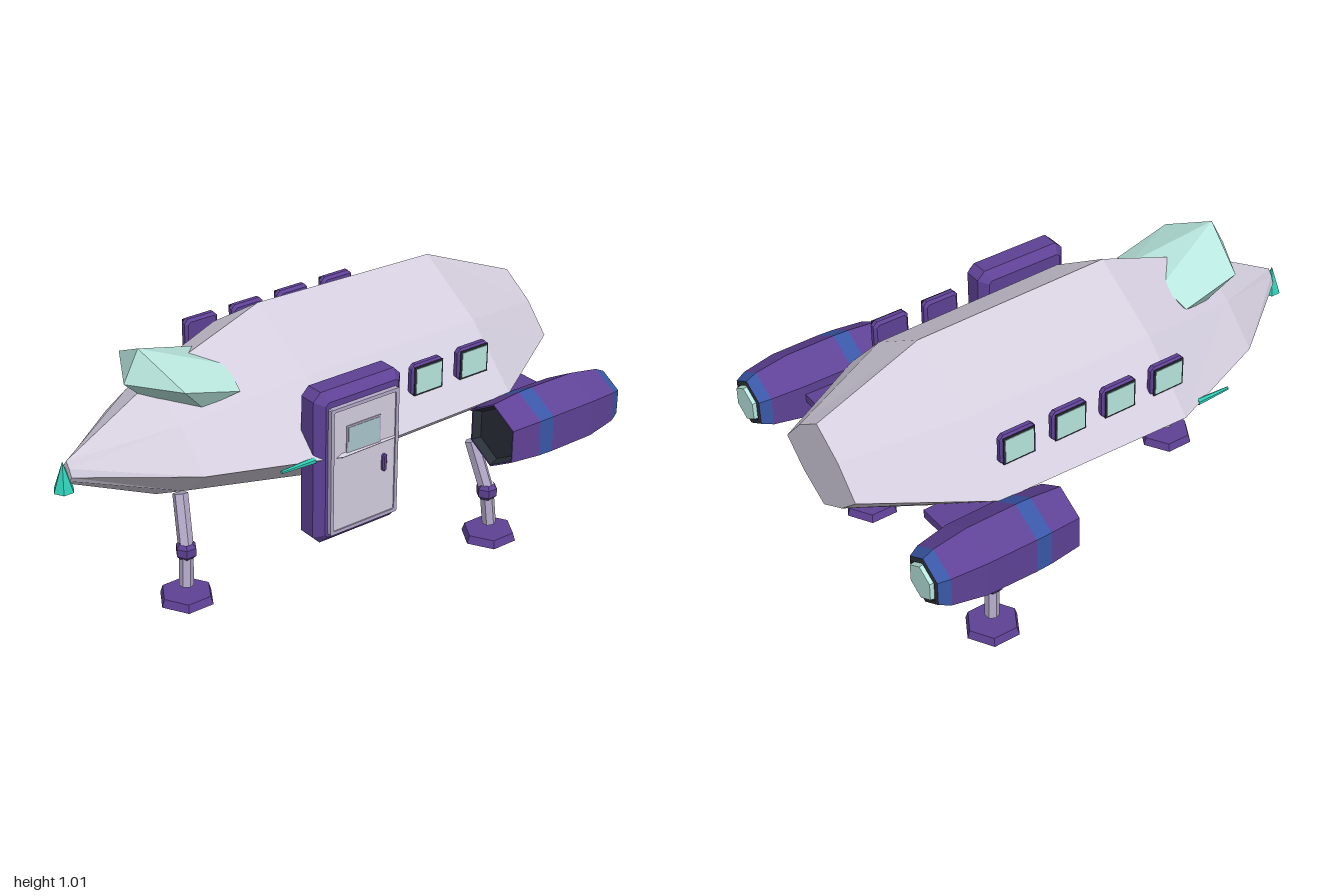
import * as THREE from 'three';
import { ConvexGeometry } from 'three/addons/geometries/ConvexGeometry.js';

const mat = (color) => new THREE.MeshStandardMaterial({ color, flatShading: true });
const HULL = mat(0xd3cddd), LEG = mat(0xb3a9c8), PURPLE = mat(0x5f4296), BLUE = mat(0x3a58a8);
const DARK = mat(0x2a3038), GLASS = mat(0xb8e6de), TEAL = mat(0x2fccb5), PANE = mat(0xa9c6cc);

function add(parent, name, geometry, material, x = 0, y = 0, z = 0) {
  const mesh = new THREE.Mesh(geometry, material);
  mesh.name = name;
  mesh.position.set(x, y, z);
  parent.add(mesh);
  return mesh;
}

// Eight-sided hull skinned over sections: z, half width, top, waist and bottom heights
function hullGeometry() {
  const sections = [
    [0.945, 0.03, 0.655, 0.605, 0.57],
    [0.6, 0.3, 0.85, 0.612, 0.41],
    [0.16, 0.482, 1.012, 0.62, 0.332],
    [-0.6, 0.465, 0.995, 0.62, 0.342],
    [-1, 0.22, 0.83, 0.64, 0.485],
  ];
  const k = 0.56;
  const rings = sections.map(([z, w, top, mid, bot]) => {
    const hi = mid + (top - mid) * k, lo = mid - (mid - bot) * k;
    return [[0, top], [w * k, hi], [w, mid], [w * k, lo], [0, bot], [-w * k, lo], [-w, mid], [-w * k, hi]]
      .map(([x, y]) => [x, y, z]);
  });
  const pos = [];
  const tri = (...pts) => pts.forEach((p) => pos.push(...p));
  const front = [0, sections[0][3], sections[0][0]];
  const rear = [0, sections[4][3], sections[4][0]];
  for (let j = 0; j < 8; j++) {
    const n = (j + 1) % 8;
    for (let i = 0; i < 4; i++) {
      const a = rings[i][j], b = rings[i][n], c = rings[i + 1][n], d = rings[i + 1][j];
      // mirror the diagonal so both sides match
      if (j < 4) { tri(a, b, c); tri(a, c, d); } else { tri(a, b, d); tri(b, c, d); }
    }
    tri(front, rings[0][n], rings[0][j]);
    tri(rear, rings[4][j], rings[4][n]);
  }
  const g = new THREE.BufferGeometry();
  g.setAttribute('position', new THREE.Float32BufferAttribute(pos, 3));
  g.computeVertexNormals();
  return g;
}

// Rectangle with cut corners
function cutRect(w, h, c, Type = THREE.Shape) {
  const x = w / 2, y = h / 2;
  return new Type([[-x + c, -y], [x - c, -y], [x, -y + c], [x, y - c], [x - c, y], [-x + c, y], [-x, y - c], [-x, -y + c]]
    .map(([a, b]) => new THREE.Vector2(a, b)));
}

// Bevelled slab facing sideways: width along z, height along y, depth along x
function slab(w, h, depth, bevel, cut) {
  const g = new THREE.ExtrudeGeometry(cutRect(w - 2 * bevel, h - 2 * bevel, cut), {
    depth: depth - 2 * bevel, bevelEnabled: true, bevelSegments: 1, bevelSize: bevel, bevelThickness: bevel,
  });
  return g.center().rotateY(Math.PI / 2);
}

// Six-sided rod between two points
function rod(parent, name, from, to, r0, r1, material) {
  const a = new THREE.Vector3(...from), b = new THREE.Vector3(...to);
  const dir = b.clone().sub(a);
  const mesh = add(parent, name, new THREE.CylinderGeometry(r1, r0, dir.length(), 6), material);
  mesh.position.copy(a.add(b).multiplyScalar(0.5));
  mesh.quaternion.setFromUnitVectors(new THREE.Vector3(0, 1, 0), dir.normalize());
  return mesh;
}

function windowUnit(side, z) {
  const g = new THREE.Group();
  g.name = 'window';
  add(g, 'windowFrame', slab(0.142, 0.122, 0.036, 0.01, 0.01), PURPLE);
  add(g, 'windowTrim', new THREE.BoxGeometry(0.004, 0.108, 0.126), DARK, side * 0.017);
  add(g, 'windowPane', new THREE.BoxGeometry(0.006, 0.094, 0.112), GLASS, side * 0.018);
  g.position.set(side * 0.386, 0.757, z);
  return g;
}

function door() {
  const g = new THREE.Group();
  g.name = 'door';
  add(g, 'doorFrame', slab(0.37, 0.575, 0.125, 0.03, 0.012), PURPLE, 0.397, 0.572, 0.065);
  const rim = cutRect(0.29, 0.48, 0.004);
  rim.holes.push(cutRect(0.264, 0.454, 0.004, THREE.Path));
  add(g, 'doorRim', new THREE.ExtrudeGeometry(rim, { depth: 0.02, bevelEnabled: false }).rotateY(Math.PI / 2),
    LEG, 0.457, 0.567, 0.065);
  add(g, 'doorPanel', new THREE.BoxGeometry(0.02, 0.454, 0.264), HULL, 0.462, 0.567, 0.065);
  add(g, 'doorWindowTrim', new THREE.BoxGeometry(0.004, 0.106, 0.146), LEG, 0.473, 0.675, 0.07);
  add(g, 'doorWindow', new THREE.BoxGeometry(0.006, 0.092, 0.132), PANE, 0.4735, 0.675, 0.07);
  add(g, 'doorHandle', slab(0.018, 0.065, 0.016, 0.004, 0.003), PURPLE, 0.478, 0.54, -0.018);
  return g;
}

// Six-sided engine turned from bands of [radius, distance toward the rear]
function engine(side) {
  const g = new THREE.Group();
  g.name = 'engine';
  const bands = [
    ['engineIntake', DARK, [[0, 0.46], [0.1, 0.46], [0.116, 0.432]]],
    ['engineLip', PURPLE, [[0.116, 0.432], [0.122, 0.432], [0.134, 0.55]]],
    ['frontBand', BLUE, [[0.134, 0.55], [0.136, 0.61]]],
    ['engineBody', PURPLE, [[0.136, 0.61], [0.134, 0.8], [0.112, 0.925]]],
    ['rearBand', BLUE, [[0.112, 0.925], [0.092, 0.965]]],
    ['nozzleRing', DARK, [[0.092, 0.965], [0.074, 0.968], [0.07, 0.955]]],
    ['nozzleGlow', GLASS, [[0.07, 0.955], [0.066, 0.98], [0, 0.98]]],
  ];
  for (const [name, material, pts] of bands) {
    const geo = new THREE.LatheGeometry(pts.map(([r, d]) => new THREE.Vector2(r, d)), 6);
    add(g, name, geo.rotateX(-Math.PI / 2), material);
  }
  g.position.set(side * 0.565, 0.545, 0);
  return g;
}

function leg(x, z, dx, dz) {
  const g = new THREE.Group();
  g.name = 'landingLeg';
  const knee = [dx * 0.065, 0.19, dz * 0.025];
  const foot = [dx * 0.075, 0.055, dz * 0.035];
  rod(g, 'upperLeg', [0, 0.38, 0], knee, 0.028, 0.028, LEG);
  rod(g, 'lowerLeg', knee, foot, 0.026, 0.026, LEG);
  // Knee collar with bevelled ends
  const collar = [[0.026, -0.03], [0.039, -0.015], [0.039, 0.015], [0.026, 0.03]];
  add(g, 'knee', new THREE.LatheGeometry(collar.map((p) => new THREE.Vector2(...p)), 6), PURPLE, ...knee);
  add(g, 'foot', new THREE.CylinderGeometry(0.094, 0.104, 0.03, 6), PURPLE, foot[0], 0.015, foot[2]);
  g.position.set(x, 0, z);
  return g;
}

export function createModel() {
  const ship = new THREE.Group();
  ship.name = 'spaceship';
  add(ship, 'hull', hullGeometry(), HULL);

  // Faceted cockpit canopy, sunk into the hull behind
  const canopy = [[0, 0.98, 0.65], [0, 0.865, 0.71], [0, 0.78, 0.62], [0, 0.78, 0.4]];
  for (const s of [-1, 1]) {
    canopy.push([s * 0.2, 0.88, 0.6], [s * 0.2, 0.82, 0.38], [s * 0.155, 0.775, 0.5], [s * 0.09, 0.87, 0.355]);
  }
  add(ship, 'canopy', new ConvexGeometry(canopy.map((p) => new THREE.Vector3(...p))), GLASS);

  add(ship, 'noseCone', new THREE.ConeGeometry(0.038, 0.11, 6), TEAL, 0, 0.603, 0.96);
  ship.add(door());

  for (const s of [-1, 1]) {
    ship.add(engine(s));
    add(ship, 'enginePylon', new THREE.BoxGeometry(0.2, 0.032, 0.3), PURPLE, s * 0.41, 0.56, -0.65);
    rod(ship, 'antenna', [s * 0.435, 0.617, 0.25], [s * 0.435, 0.617, 0.385], 0.012, 0.006, TEAL);
    ship.add(leg(s * 0.32, -0.565, s, -1));
  }
  ship.add(leg(0, 0.5, 1, 1));

  for (const z of [-0.48, -0.272, -0.066, 0.14]) {
    ship.add(windowUnit(-1, z));
    if (z < -0.2) ship.add(windowUnit(1, z));
  }
  return ship;
}
